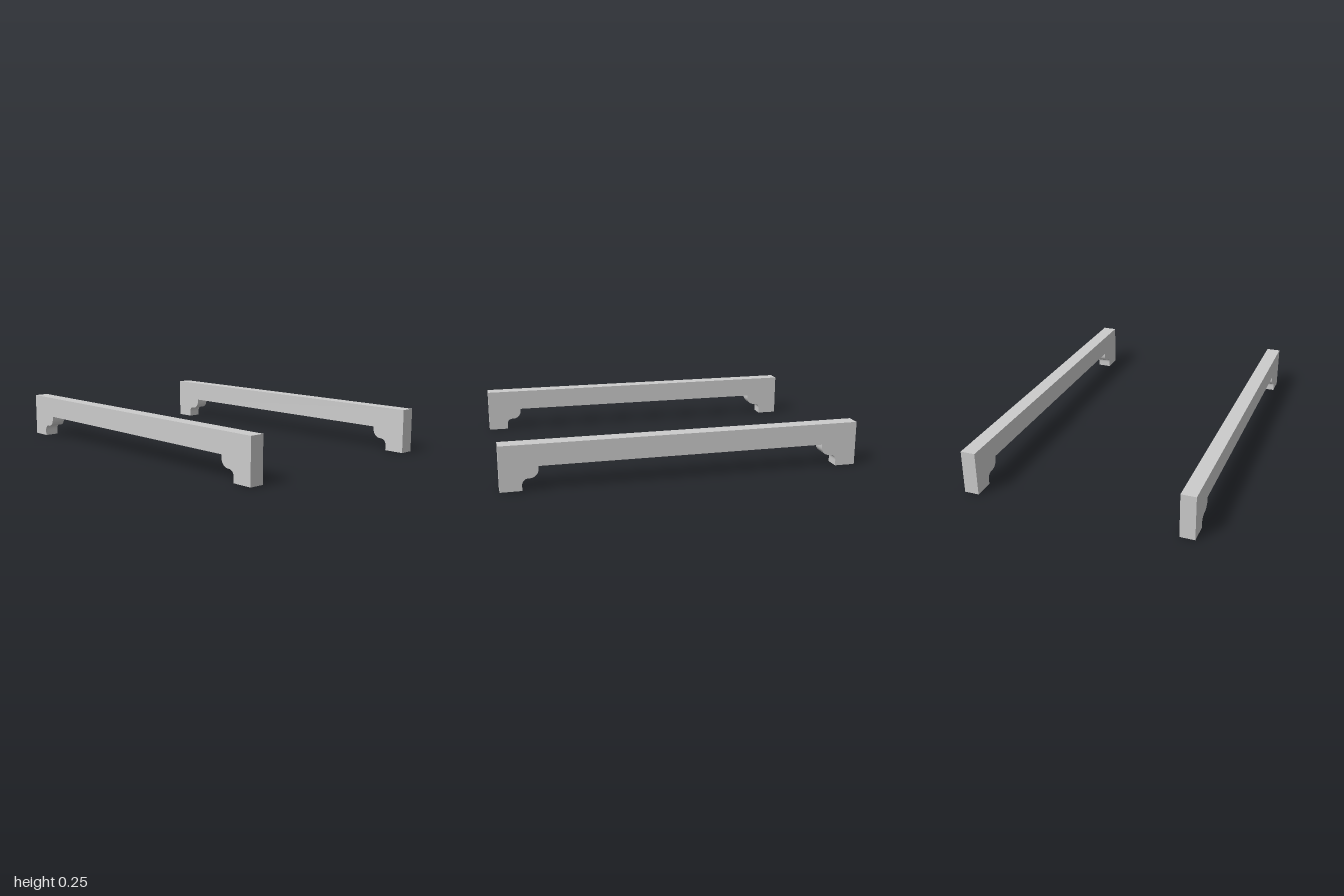
import * as THREE from 'three';
import { toCreasedNormals } from 'three/addons/utils/BufferGeometryUtils.js';

const HEIGHT = 0.25, DEPTH = 0.083, INNER_Z = 0.57, UNDERSIDE = 0.13;

// Right half of the cut-out: foot, cove, short flat, rounded shoulder
function railShape() {
  const half = new THREE.Path();
  half.moveTo(0.883, 0);
  half.lineTo(0.883, 0.03);
  half.bezierCurveTo(0.883, 0.051, 0.869, 0.066, 0.85, 0.066);
  half.lineTo(0.843, 0.066);
  half.bezierCurveTo(0.815, 0.066, 0.795, 0.088, 0.795, 0.115);
  half.lineTo(0.795, UNDERSIDE);
  const right = half.getPoints(8);
  const left = right.map((p) => new THREE.Vector2(-p.x, p.y)).reverse();
  return new THREE.Shape([
    new THREE.Vector2(1, HEIGHT),
    new THREE.Vector2(-1, HEIGHT),
    new THREE.Vector2(-1, 0),
    ...left.reverse(),
    ...right.reverse(),
    new THREE.Vector2(1, 0),
  ]);
}

export function createModel() {
  const model = new THREE.Group();
  model.name = 'apronRails';
  const material = new THREE.MeshStandardMaterial({ color: 0xcccccc });
  const geometry = toCreasedNormals(
    new THREE.ExtrudeGeometry(railShape(), { depth: DEPTH, bevelEnabled: false }),
    0.6
  );

  // Matching front and back rails
  for (const [name, z] of [['frontRail', INNER_Z], ['backRail', -INNER_Z - DEPTH]]) {
    const rail = new THREE.Mesh(geometry, material);
    rail.name = name;
    rail.position.z = z;
    model.add(rail);
  }
  return model;
}
